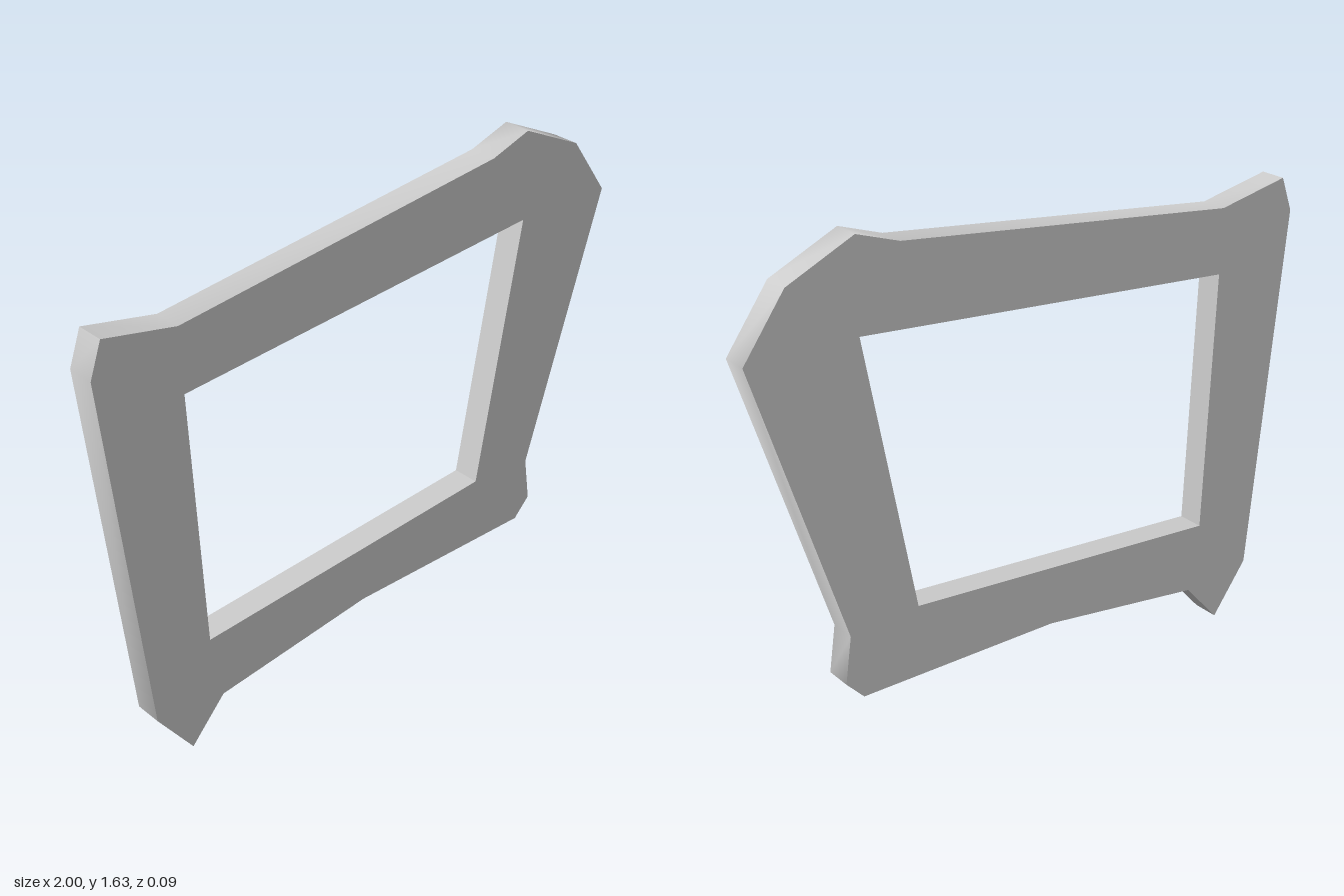
import * as THREE from 'three';
import { toCreasedNormals } from 'three/addons/utils/BufferGeometryUtils.js';

const DEPTH = 0.092;

// Crooked outer outline, clockwise from the upper left of the front
const OUTER = [
  [-1, 1.4], [-0.96, 1.513], [-0.71, 1.458], [0.49, 1.58], [0.635, 1.627],
  [0.86, 1.52], [1, 1.322], [0.703, 0.405], [0.725, 0.25], [0.665, 0.188],
  [-0.04, 0.203], [-0.62, 0.138], [-0.745, 0], [-0.87, 0.173],
];

// Skewed four-sided opening, counter-clockwise so its walls face inward
const OPENING = [[-0.66, 0.368], [0.463, 0.43], [0.633, 1.33], [-0.702, 1.242]];

const toPoints = (list) => list.map(([x, y]) => new THREE.Vector2(x, y));

export function createModel() {
  const group = new THREE.Group();
  group.name = 'crookedFrame';

  // Flat slab with the opening cut through it
  const outline = new THREE.Shape(toPoints(OUTER));
  outline.holes.push(new THREE.Path(toPoints(OPENING)));
  const slab = new THREE.ExtrudeGeometry(outline, { depth: DEPTH, bevelEnabled: false });
  slab.translate(0, 0, -DEPTH / 2);

  // Soften the shallow bends of the rim, keep the face edges and opening sharp
  const frame = new THREE.Mesh(
    toCreasedNormals(slab, 1),
    new THREE.MeshStandardMaterial({ color: 0xcccccc }),
  );
  frame.name = 'frame';
  group.add(frame);
  return group;
}
